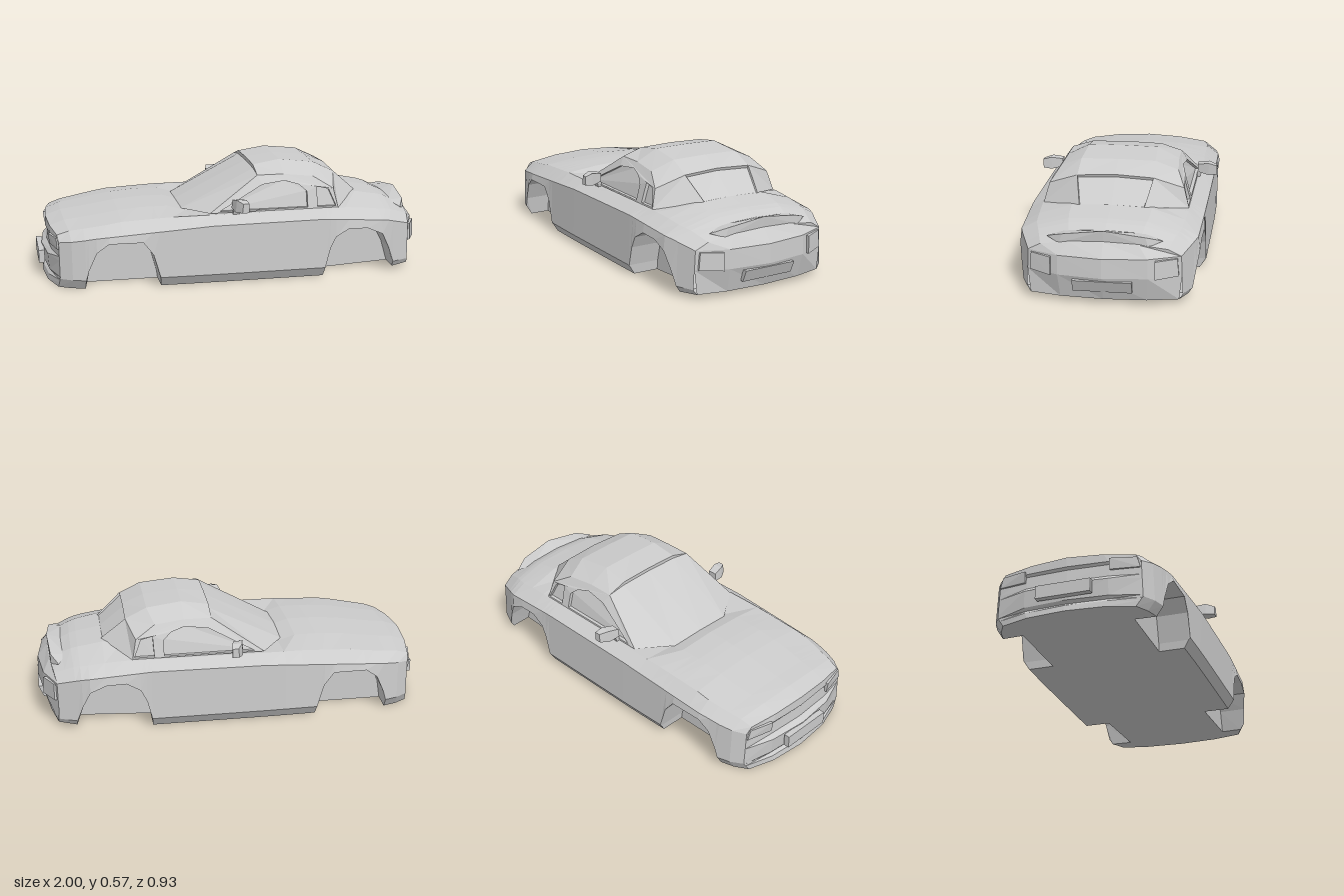
import * as THREE from 'three';
import { ConvexGeometry } from 'three/addons/geometries/ConvexGeometry.js';

const paint = new THREE.MeshStandardMaterial({ color: 0xcccccc, flatShading: true, side: THREE.DoubleSide });

// Piecewise-linear function through [x, value] keys
const track = (...keys) => (x) => {
  if (x <= keys[0][0]) return keys[0][1];
  for (let i = 1; i < keys.length; i++) {
    const [a, va] = keys[i - 1], [b, vb] = keys[i];
    if (x <= b) return va + (vb - va) * (x - a) / (b - a);
  }
  return keys[keys.length - 1][1];
};

const mix = (a, b, t) => a.map((v, i) => v + (b[i] - v) * t);
// Centre-to-side row completed across the car
const full = (row) => [...row.slice().reverse().map(([x, y, z]) => [x, y, -z]), ...row.filter((p) => p[2] !== 0)];

// Faceted surface through rows of points
function grid(rows) {
  const pos = [];
  for (let i = 0; i + 1 < rows.length; i++) {
    for (let j = 0; j + 1 < rows[i].length; j++) {
      const a = rows[i][j], b = rows[i][j + 1], c = rows[i + 1][j + 1], d = rows[i + 1][j];
      pos.push(...a, ...b, ...c, ...a, ...c, ...d);
    }
  }
  const g = new THREE.BufferGeometry();
  g.setAttribute('position', new THREE.Float32BufferAttribute(pos, 3));
  g.computeVertexNormals();
  return g;
}

const hull = (pts) => new ConvexGeometry(pts.map((p) => new THREE.Vector3(...p)));
// Thin panel: a face outline given some thickness along x
const panel = (pts, dx) => hull([...pts, ...pts.map(([x, y, z]) => [x + dx, y, z])]);

// Body curves along the length; the nose points to -x
const beltZ = track([-0.91, 0.355], [-0.83, 0.405], [-0.68, 0.43], [-0.2, 0.44], [0.4, 0.44], [0.75, 0.43], [0.9, 0.365]);
const beltY = track([-0.91, 0.235], [-0.71, 0.265], [-0.15, 0.3], [0.42, 0.305], [0.76, 0.28], [0.9, 0.24]);
const shoulderZ = track([-0.91, 0.325], [-0.68, 0.365], [-0.2, 0.37], [0.5, 0.365], [0.75, 0.35], [0.9, 0.3]);
const shoulderY = track([-0.91, 0.268], [-0.85, 0.288], [-0.6, 0.328], [-0.35, 0.34], [0.6, 0.342], [0.8, 0.315], [0.9, 0.275]);
const topY = track([-0.91, 0.288], [-0.85, 0.315], [-0.6, 0.355], [-0.48, 0.365], [-0.34, 0.365], [-0.25, 0.338],
  [0.1, 0.345], [0.66, 0.392], [0.8, 0.365], [0.9, 0.305]);
const floorY = track([0.43, 0], [0.81, 0.02], [0.9, 0.025]);
const archKeys = [[-0.785, 0], [-0.77, 0.1], [-0.73, 0.19], [-0.67, 0.235], [-0.5, 0.235], [-0.45, 0.17], [-0.415, 0.04],
  [-0.41, 0], [0.43, 0], [0.435, 0.05], [0.46, 0.15], [0.49, 0.21], [0.56, 0.25], [0.66, 0.245], [0.74, 0.21],
  [0.78, 0.13], [0.81, 0.02]];
const arch = track(...archKeys);
const bow = track([-0.91, -0.045], [-0.8, -0.01], [-0.65, 0], [0.7, 0], [0.8, 0.01], [0.9, 0.04]);

// Half section: floor, wheel well, lip, sill, belt, shoulder, centre
function section(x) {
  const f = floorY(x), a = Math.max(f, arch(x)), w = beltZ(x);
  const lipZ = w + 0.003 - 0.03 * (1 - Math.min(a / 0.05, 1));
  const top = topY(x), midZ = shoulderZ(x) * 0.55;
  return [[f, 0], [f, 0.28], [a, 0.28], [a, lipZ], [Math.max(a, 0.05), w + 0.005], [beltY(x), w - 0.003],
    [shoulderY(x), shoulderZ(x)], [top - 0.008, midZ], [top, 0]]
    .map(([y, z]) => [x + bow(x) * (1 - (z / w) ** 2), y, z]);
}

// End face spanning the sides of an end section; profile = [position up the side, bulge]
function endCap(sec, profile) {
  const side = sec.slice(3, 7);
  const rows = profile.map(([t, bulge]) => {
    const i = Math.min(Math.floor(t), 2);
    const e = mix(side[i], side[i + 1], t - i);
    return full([[e[0] + bulge, e[1], 0], [e[0] + bulge * 0.72, e[1], e[2] * 0.58], e]);
  });
  rows.push(full([sec[8], sec[7], sec[6]]));
  // Close the underside to the floor edge
  rows.unshift(full([sec[0], sec[1], sec[3]]));
  return grid(rows);
}

// Cabin side: leans inward with height
const sideZ = track([0.345, 0.36], [0.45, 0.332], [0.515, 0.285]);
const outline = (pts) => pts.map(([x, y]) => new THREE.Vector2(x, y));
function lean(g, offset) {
  const p = g.attributes.position;
  for (let i = 0; i < p.count; i++) p.setZ(i, p.getZ(i) + sideZ(p.getY(i)) + offset);
  g.computeVertexNormals();
  return g;
}

export function createModel() {
  const car = new THREE.Group();
  car.name = 'car';
  const add = (name, geometry, parent = car) => {
    const m = new THREE.Mesh(geometry, paint);
    m.name = name;
    parent.add(m);
    return m;
  };

  // Main body with wheel wells
  const stations = [...archKeys.map((k) => k[0]), -0.91, -0.85, -0.6, -0.34, -0.25, -0.15, 0.11, 0.85, 0.9].sort((a, b) => a - b);
  const sections = stations.map(section);
  add('body', grid(sections.map((s) => [...s, ...s.slice(0, -1).reverse().map(([x, y, z]) => [x, y, -z])])));
  add('frontFascia', endCap(sections[0], [[0, -0.06], [0.6, -0.06], [0.9, -0.045], [1.05, -0.06], [1.5, -0.068],
    [1.62, -0.04], [1.95, -0.035], [2.1, -0.045]]));
  add('rearFascia', endCap(sections[sections.length - 1], [[0, 0.045], [1.5, 0.095], [2, 0.09]]));

  // Roof with overhanging front and rear lips
  add('roof', grid([
    [[0.11, 0.535, 0], [0.11, 0.53, 0.185], [0.11, 0.515, 0.285]],
    [[0.11, 0.553, 0], [0.11, 0.548, 0.18], [0.11, 0.515, 0.285]],
    [[0.25, 0.572, 0], [0.25, 0.57, 0.175], [0.25, 0.515, 0.285]],
    [[0.43, 0.553, 0], [0.43, 0.55, 0.185], [0.4, 0.5, sideZ(0.5)]],
    [[0.54, 0.507, 0], [0.54, 0.497, 0.188], [0.5, 0.44, sideZ(0.44)]],
  ].map(full)));
  add('windshield', grid([
    [[-0.29, 0.335, 0], [-0.27, 0.335, 0.18], [-0.15, 0.345, 0.36]],
    [[0.11, 0.535, 0], [0.11, 0.53, 0.185], [0.11, 0.515, 0.285]],
  ].map(full)));
  add('rearWindow', grid([
    [[0.54, 0.507, 0], [0.54, 0.497, 0.188]],
    [[0.535, 0.493, 0], [0.535, 0.483, 0.186]],
    [[0.66, 0.392, 0], [0.66, 0.382, 0.155]],
  ].map(full)));

  // Trunk lip spoiler
  const lip = [[0.935, 0.3, 0], [0.94, 0.36, 0], [0.86, 0.335, 0]];
  for (const s of [-1, 1]) {
    lip.push([0.925, 0.286, s * 0.21], [0.925, 0.332, s * 0.195], [0.85, 0.325, s * 0.19], [0.885, 0.305, s * 0.275]);
  }
  add('spoiler', hull(lip));

  // Plates
  add('frontPlate', new THREE.BoxGeometry(0.03, 0.065, 0.27)).position.set(-0.985, 0.105, 0);
  add('rearPlate', panel([[0.969, 0.07, 0.14], [0.969, 0.07, -0.14], [0.995, 0.13, -0.14], [0.995, 0.13, 0.14]], -0.03));

  // Parts repeated on both sides
  const doorGlass = [[-0.1, 0.352], [0.36, 0.352], [0.36, 0.43], [0.32, 0.465], [0.25, 0.485], [0.13, 0.472]];
  const quarterGlass = [[0.41, 0.352], [0.51, 0.352], [0.475, 0.437], [0.415, 0.452]];
  for (const s of [1, -1]) {
    const side = new THREE.Group();
    side.name = s > 0 ? 'leftParts' : 'rightParts';
    side.scale.z = s;
    car.add(side);

    const frame = new THREE.Shape(outline([[-0.15, 0.345], [0.52, 0.345], [0.5, 0.44], [0.4, 0.5], [0.25, 0.515], [0.11, 0.515]]));
    frame.holes = [doorGlass, quarterGlass].map((w) => new THREE.Path(outline(w)));
    add('windowFrame', lean(new THREE.ExtrudeGeometry(frame, { depth: 0.02, bevelEnabled: false }), -0.02), side);
    add('doorWindow', lean(new THREE.ShapeGeometry(new THREE.Shape(outline(doorGlass))), -0.018), side);
    add('quarterWindow', lean(new THREE.ShapeGeometry(new THREE.Shape(outline(quarterGlass))), -0.018), side);

    add('rearPillar', grid([
      [[0.535, 0.483, 0.186], [0.66, 0.382, 0.155]],
      [[0.54, 0.497, 0.188], [0.665, 0.387, 0.158]],
      [[0.5, 0.44, sideZ(0.44)], [0.52, 0.343, 0.362]],
    ]), side);

    add('headlight', panel([[-0.948, 0.195, 0.21], [-0.955, 0.25, 0.21], [-0.922, 0.252, 0.335], [-0.918, 0.2, 0.35]], 0.03), side);
    add('tailLight', panel([[0.972, 0.142, 0.245], [0.968, 0.23, 0.245], [0.917, 0.232, 0.345], [0.917, 0.147, 0.352]], -0.03), side);

    // Door mirror and its stalk
    add('mirror', hull([
      [-0.04, 0.37, 0.362], [-0.035, 0.412, 0.362], [0.01, 0.37, 0.362], [0.01, 0.412, 0.362],
      [-0.03, 0.36, 0.42], [-0.025, 0.422, 0.42], [0.025, 0.358, 0.42], [0.025, 0.422, 0.42],
      [-0.005, 0.365, 0.463], [0, 0.412, 0.463], [0.03, 0.365, 0.463], [0.03, 0.412, 0.463],
    ]), side);
    add('mirrorStalk', hull([
      [-0.035, 0.335, 0.35], [0, 0.335, 0.35], [-0.035, 0.335, 0.372], [0, 0.335, 0.372],
      [-0.03, 0.378, 0.362], [0.005, 0.378, 0.362], [-0.03, 0.378, 0.385], [0.005, 0.378, 0.385],
    ]), side);
  }
  return car;
}
